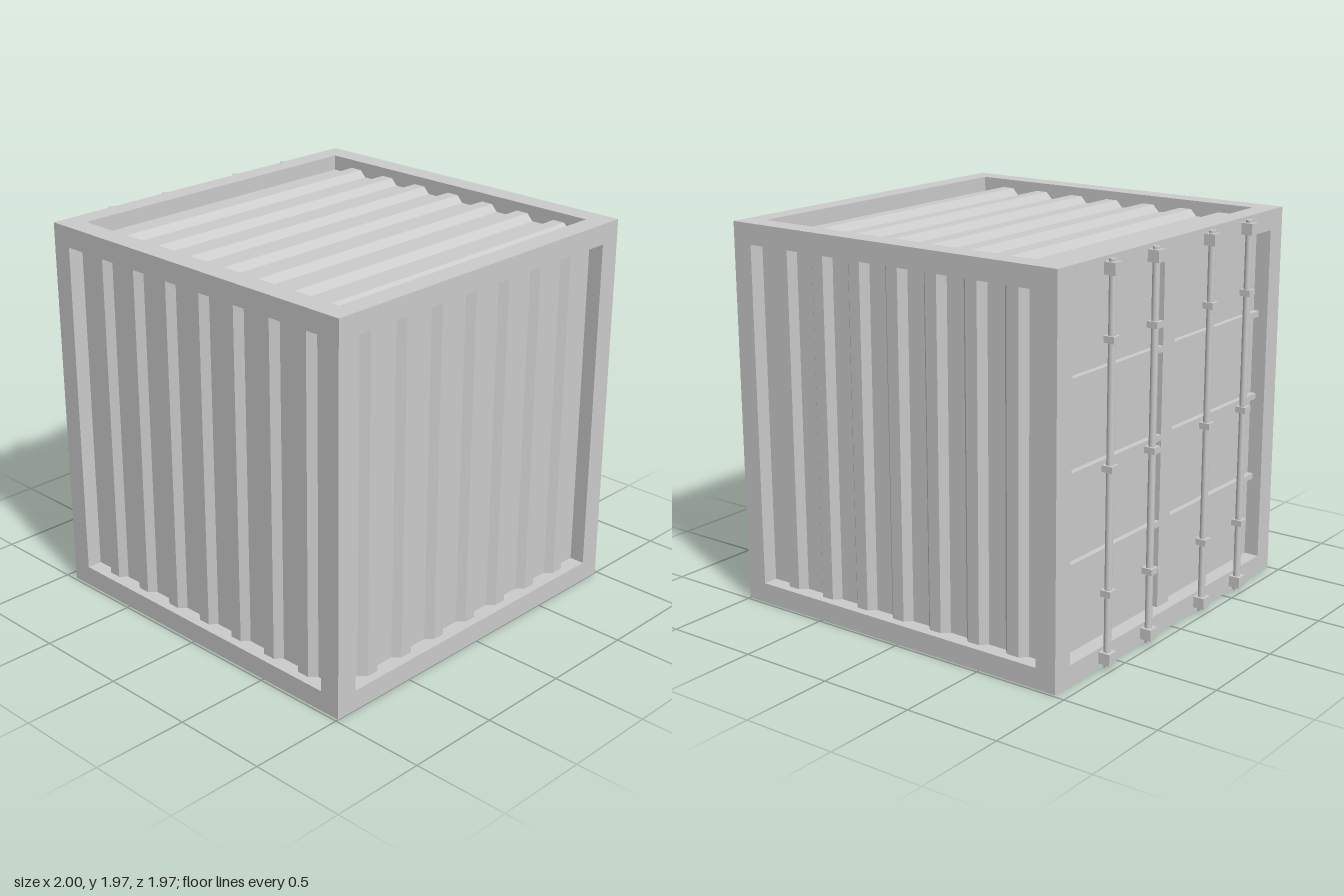
import * as THREE from 'three';

const MAT = new THREE.MeshStandardMaterial({ color: 0xcccccc, flatShading: true });
const SMOOTH = new THREE.MeshStandardMaterial({ color: 0xcccccc });

// Body extents: x from X0 to X1, y from 0 to H, z from -D to D
const X0 = -0.94, X1 = 1, H = 1.97, D = 0.985;
const BEAM = 0.11;                        // frame thickness
const CX = (X0 + X1) / 2, CY = H / 2;
const IW = X1 - X0 - 2 * BEAM;            // opening along x
const IH = H - 2 * BEAM + 0.01;           // opening along y
const ID = 2 * D - 2 * BEAM - 0.01;       // opening along z
const BY = (H - IH) / 2, BZ = (2 * D - ID) / 2;

function box(parent, name, x0, x1, y0, y1, z0, z1) {
  const mesh = new THREE.Mesh(new THREE.BoxGeometry(x1 - x0, y1 - y0, z1 - z0), MAT);
  mesh.position.set((x0 + x1) / 2, (y0 + y1) / 2, (z0 + z1) / 2);
  mesh.name = name;
  parent.add(mesh);
  return mesh;
}

// Corrugated sheet: profile in x, outward along +y (0 = frame face), ribs along z
function corrugated(width, length) {
  const ridges = 7, slope = 0.034, crest = 0.066, margin = 0.097;
  const low = -0.08, high = -0.045, back = -0.105;
  const ridge = crest + 2 * slope;
  const pitch = (width - 2 * margin - ridge) / (ridges - 1);
  const shape = new THREE.Shape();
  shape.moveTo(-width / 2, back);
  shape.lineTo(width / 2, back);
  shape.lineTo(width / 2, low);
  for (let i = ridges - 1; i >= 0; i--) {
    const x = -width / 2 + margin + i * pitch;
    shape.lineTo(x + ridge, low);
    shape.lineTo(x + ridge - slope, high);
    shape.lineTo(x + slope, high);
    shape.lineTo(x, low);
  }
  shape.lineTo(-width / 2, low);
  shape.closePath();
  return new THREE.ExtrudeGeometry(shape, { depth: length, bevelEnabled: false })
    .translate(0, 0, -length / 2);
}

function createFrame() {
  const frame = new THREE.Group();
  frame.name = 'frame';
  const xs = [[X0, X0 + BEAM], [X1 - BEAM, X1]];
  const ys = [[0, BY], [H - BY, H]];
  const zs = [[-D, -D + BZ], [D - BZ, D]];
  for (const x of xs) for (const z of zs) box(frame, 'cornerPost', ...x, 0, H, ...z);
  for (const y of ys) {
    for (const z of zs) box(frame, 'sideRail', X0 + BEAM, X1 - BEAM, ...y, ...z);
    for (const x of xs) box(frame, 'endRail', ...x, ...y, -D + BZ, D - BZ);
  }
  return frame;
}

function createPanels() {
  const panels = new THREE.Group();
  panels.name = 'corrugatedPanels';
  const add = (name, geometry, x, y, z) => {
    const mesh = new THREE.Mesh(geometry, MAT);
    mesh.name = name;
    mesh.position.set(x, y, z);
    panels.add(mesh);
  };
  const upright = (w) => corrugated(w, IH).rotateX(Math.PI / 2);
  add('frontWall', upright(IW), CX, CY, D);
  add('backWall', upright(IW).rotateY(Math.PI), CX, CY, -D);
  add('endWall', upright(ID).rotateY(Math.PI / 2), X1, CY, 0);
  add('roof', corrugated(IW, ID), CX, H, 0);
  add('floor', corrugated(IW, ID).rotateZ(Math.PI), CX, 0, 0);
  return panels;
}

function createDoors() {
  const doors = new THREE.Group();
  doors.name = 'doors';
  const face = X0 + 0.08;
  // Two door leaves with horizontal ribs, meeting at a centre post
  for (const s of [-1, 1]) {
    const z = [0, s * ID / 2].sort((a, b) => a - b);
    box(doors, 'doorLeaf', face, face + 0.025, BY, H - BY, ...z);
    const r = [s * 0.05, s * ID / 2].sort((a, b) => a - b);
    for (let i = 1; i < 4; i++) {
      const y = BY + (IH * i) / 4;
      box(doors, 'doorRib', face - 0.03, face, y - 0.015, y + 0.015, ...r);
    }
  }
  box(doors, 'centrePost', face - 0.03, face, BY, H - BY, -0.05, 0.05);

  // Locking rods with end brackets and guide clips
  for (const z of [-0.605, -0.25, 0.245, 0.6]) {
    const rod = new THREE.Mesh(new THREE.CylinderGeometry(0.018, 0.018, 1.95, 16), SMOOTH);
    rod.name = 'lockingRod';
    rod.position.set(-0.968, CY, z);
    doors.add(rod);
    for (const y of [0.058, 1.917])
      box(doors, 'endBracket', -1, X0, y - 0.029, y + 0.029, z - 0.03, z + 0.03);
    for (const y of [0.383, 0.99, 1.595])
      box(doors, 'guideClip', -0.997, X0, y - 0.016, y + 0.016, z - 0.027, z + 0.027);
  }
  return doors;
}

export function createModel() {
  const model = new THREE.Group();
  model.name = 'shippingContainer';
  model.add(createFrame(), createPanels(), createDoors());
  return model;
}
